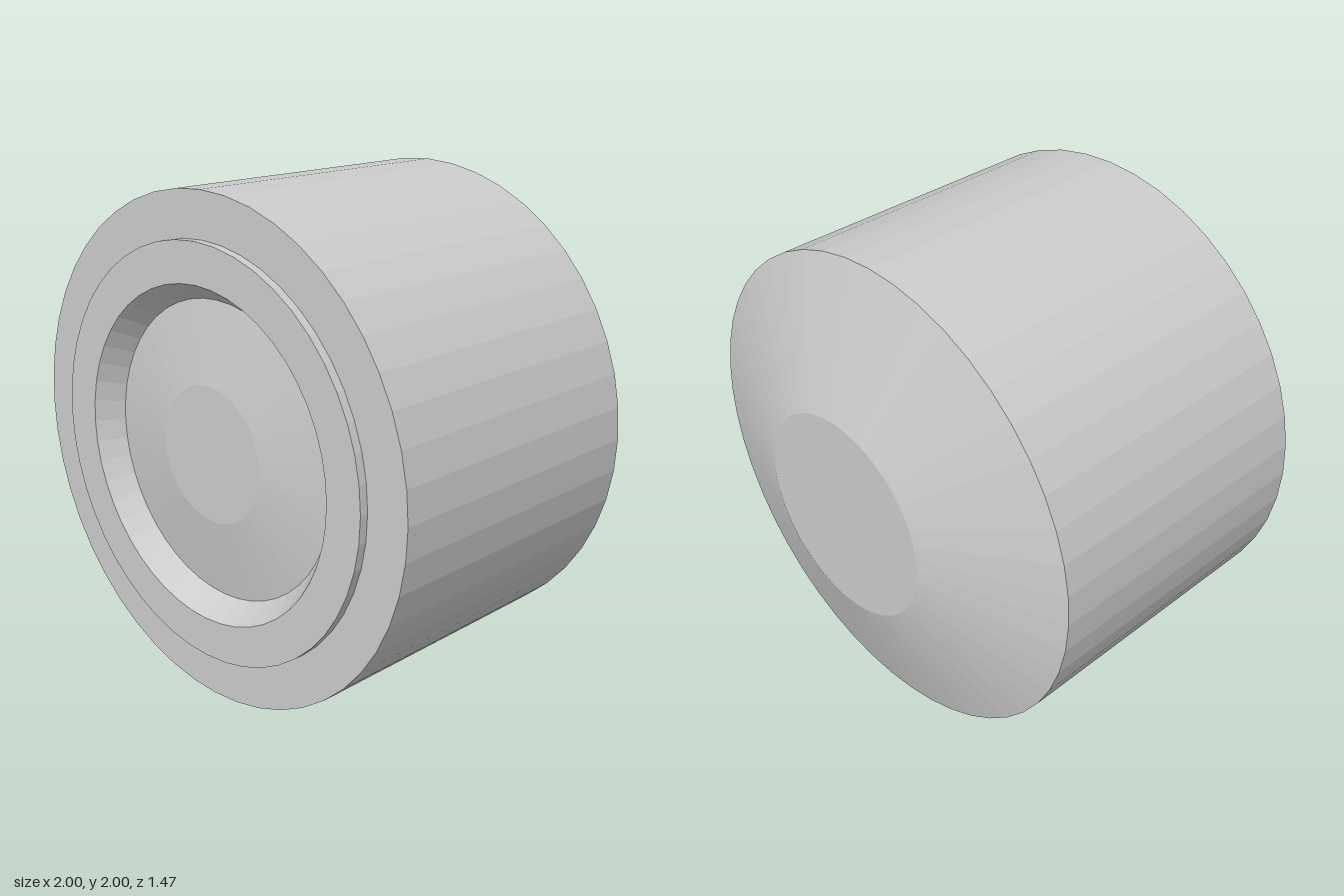
import * as THREE from 'three';

const SIDES = 48;

// Turns a profile of [radius, z] points around the front-to-back axis.
function turned(name, profile, material) {
  const points = profile.map(([r, z]) => new THREE.Vector2(r, z));
  const geometry = new THREE.LatheGeometry(points, SIDES);
  geometry.rotateX(Math.PI / 2);
  const mesh = new THREE.Mesh(geometry, material);
  mesh.name = name;
  mesh.position.y = 1;
  return mesh;
}

export function createModel() {
  const material = new THREE.MeshStandardMaterial({ color: 0xcccccc, flatShading: true });
  const model = new THREE.Group();
  model.name = 'roundCap';

  // Drum with a blunt conical back and a flat front shoulder
  model.add(turned('body', [[0, -0.735], [0.43, -0.735], [1, -0.54], [1, 0.7], [0.82, 0.7]], material));

  // Raised front ring with a tapered inner wall
  model.add(turned('frontRing', [[0.82, 0.7], [0.82, 0.735], [0.66, 0.735], [0.59, 0.635]], material));

  // Shallow cone with a flat centre, set inside the ring
  model.add(turned('recessedCentre', [[0.59, 0.635], [0.27, 0.685], [0, 0.685]], material));

  return model;
}
